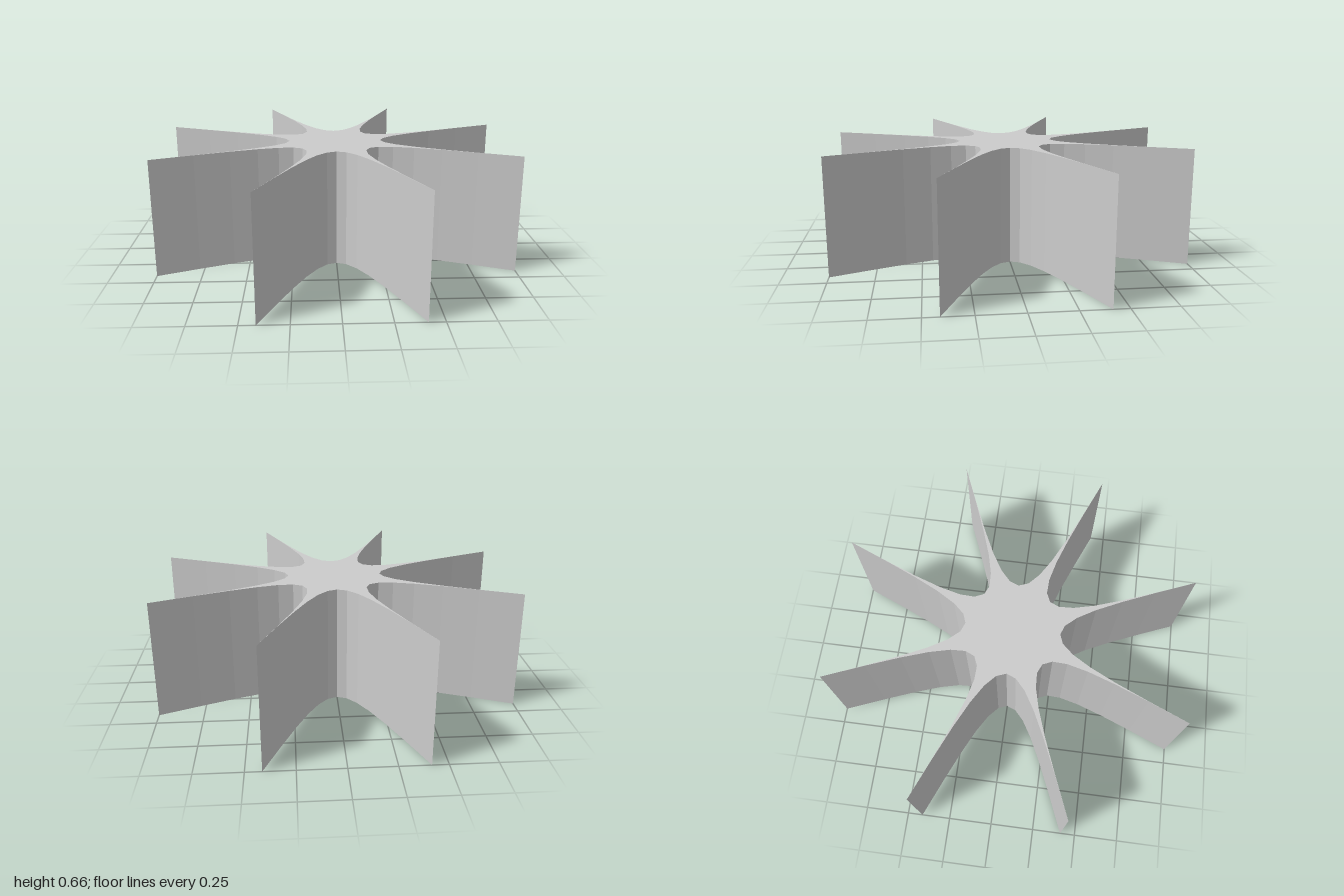
import * as THREE from 'three';

const POINTS = 8;
const HEIGHT = 0.663;
const TIP = 1 / Math.cos(Math.PI / POINTS); // tip radius, so the star spans -1..1
const PULL = 0.021 * TIP; // curve handles lie almost at the centre

// Point on the star's i-th ray at a given radius
function onRay(i, radius) {
  const a = ((i + 0.5) / POINTS) * Math.PI * 2;
  return [radius * Math.cos(a), radius * Math.sin(a)];
}

export function createModel() {
  const group = new THREE.Group();
  group.name = 'starPrism';

  // Outline: each pair of neighbouring tips joined by a deep inward curve
  const outline = new THREE.Shape();
  outline.moveTo(...onRay(0, TIP));
  for (let i = 0; i < POINTS; i++) {
    outline.bezierCurveTo(...onRay(i, PULL), ...onRay(i + 1, PULL), ...onRay(i + 1, TIP));
  }

  // Solid star, extruded upward with faceted walls
  const geometry = new THREE.ExtrudeGeometry(outline, {
    depth: HEIGHT, bevelEnabled: false, curveSegments: 12,
  });
  geometry.rotateX(-Math.PI / 2);

  const star = new THREE.Mesh(
    geometry,
    new THREE.MeshStandardMaterial({ color: 0xcccccc, flatShading: true }),
  );
  star.name = 'eightPointedStar';
  group.add(star);
  return group;
}
